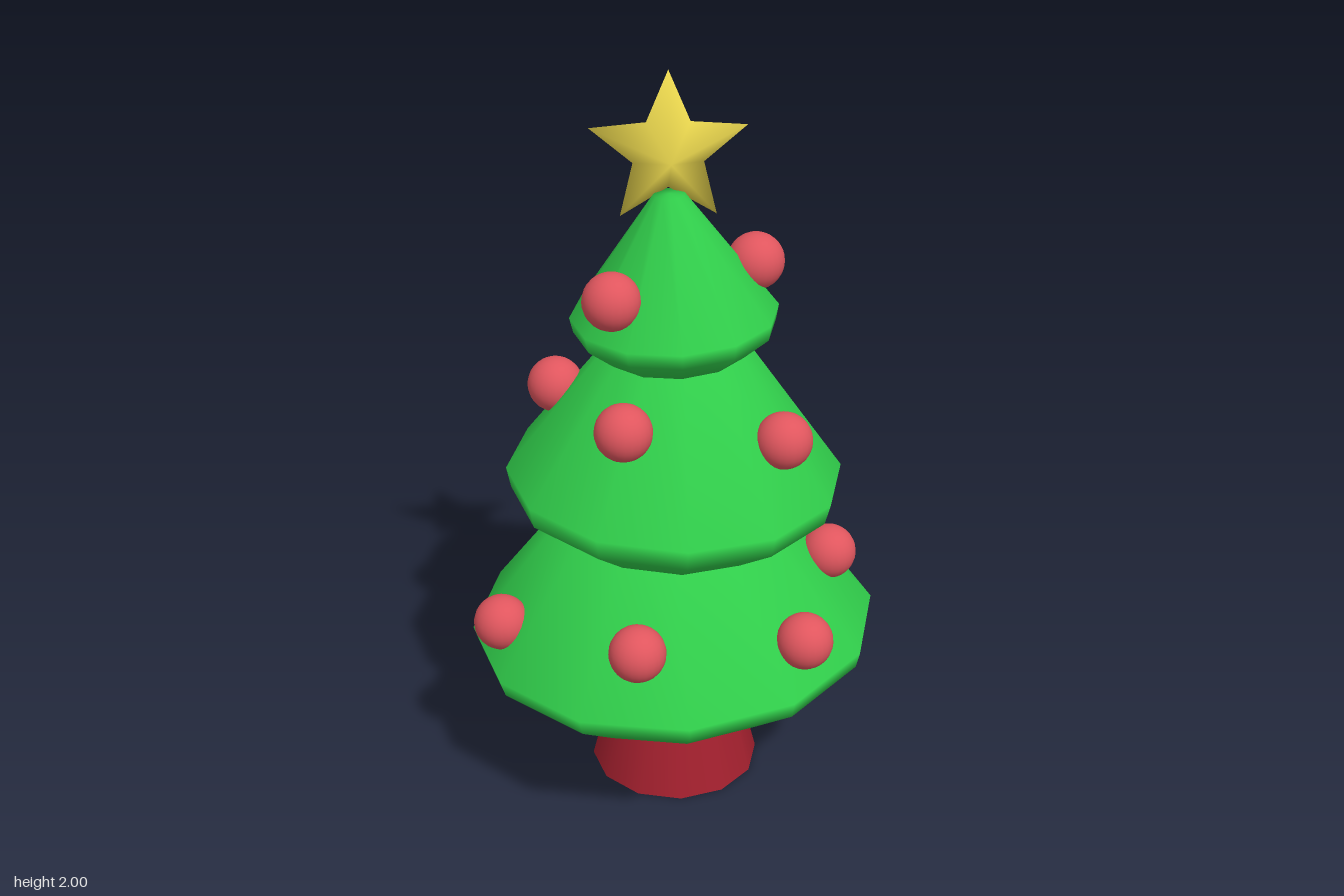
import * as THREE from 'three';

const paint = (color) => new THREE.MeshStandardMaterial({ color });

function add(parent, name, geometry, material, x = 0, y = 0, z = 0) {
  const mesh = new THREE.Mesh(geometry, material);
  mesh.name = name;
  mesh.position.set(x, y, z);
  parent.add(mesh);
  return mesh;
}

// Five-pointed star with a flat back and a raised centre, smooth normals
function starGeometry(outer, inner, depth) {
  const points = [0, 0, depth, 0, 0, 0];
  const faces = [];
  for (let i = 0; i < 10; i++) {
    const a = Math.PI / 2 + (i * Math.PI) / 5;
    const r = i % 2 ? inner : outer;
    points.push(r * Math.cos(a), r * Math.sin(a), 0);
    const p = 2 + i, q = 2 + ((i + 1) % 10);
    faces.push(0, p, q, 1, q, p);
  }
  const g = new THREE.BufferGeometry();
  g.setAttribute('position', new THREE.Float32BufferAttribute(points, 3));
  g.setIndex(faces);
  g.computeVertexNormals();
  return g;
}

export function createModel() {
  const model = new THREE.Group();
  model.name = 'decoratedTree';
  const green = paint(0x30cc4a), red = paint(0xe0565e);
  const brown = paint(0xa3202e), gold = paint(0xf0dc50);

  // Trunk, wider at the foot
  add(model, 'trunk', new THREE.CylinderGeometry(0.15, 0.232, 0.33, 12), brown, -0.003, 0.165, 0);

  // Foliage tiers: [name, x, base y, tilt, profile of radius and height above base]
  const tiers = [
    ['lowerTier', 0, 0.302, 0.045, [[0, 0], [0.385, 0], [0.538, 0.12], [0.55, 0.165], [0.285, 0.49], [0, 0.5]]],
    ['middleTier', -0.008, 0.768, -0.03, [[0, 0], [0.295, 0], [0.432, 0.1], [0.445, 0.157], [0.17, 0.53], [0, 0.54]]],
    ['upperTier', 0, 1.275, 0.04, [[0, 0], [0.19, 0], [0.26, 0.06], [0.268, 0.1], [0.04, 0.417], [0, 0.418]]],
  ];
  for (const [name, x, y, tilt, profile] of tiers) {
    const points = profile.map(([r, h]) => new THREE.Vector2(r, h));
    add(model, name, new THREE.LatheGeometry(points, 12), green, x, y, 0).rotation.z = tilt;
  }

  // Baubles
  const baubles = new THREE.Group();
  baubles.name = 'baubles';
  model.add(baubles);
  const ball = new THREE.SphereGeometry(0.074, 24, 16);
  [
    [-0.17, 1.473, 0.15], [0.207, 1.49, -0.04],
    [-0.15, 1.165, 0.255], [0.258, 1.1, 0.205], [-0.31, 1.118, -0.125],
    [-0.13, 0.622, 0.425], [0.306, 0.595, 0.36], [-0.475, 0.545, 0.135],
    [0.414, 0.66, 0.028], [-0.325, 0.67, -0.245],
  ].forEach(([x, y, z], i) => add(baubles, `bauble${i + 1}`, ball, red, x, y, z));

  // Star on top
  add(model, 'star', starGeometry(0.206, 0.093, 0.1), gold, -0.017, 1.794, -0.023);

  return model;
}
